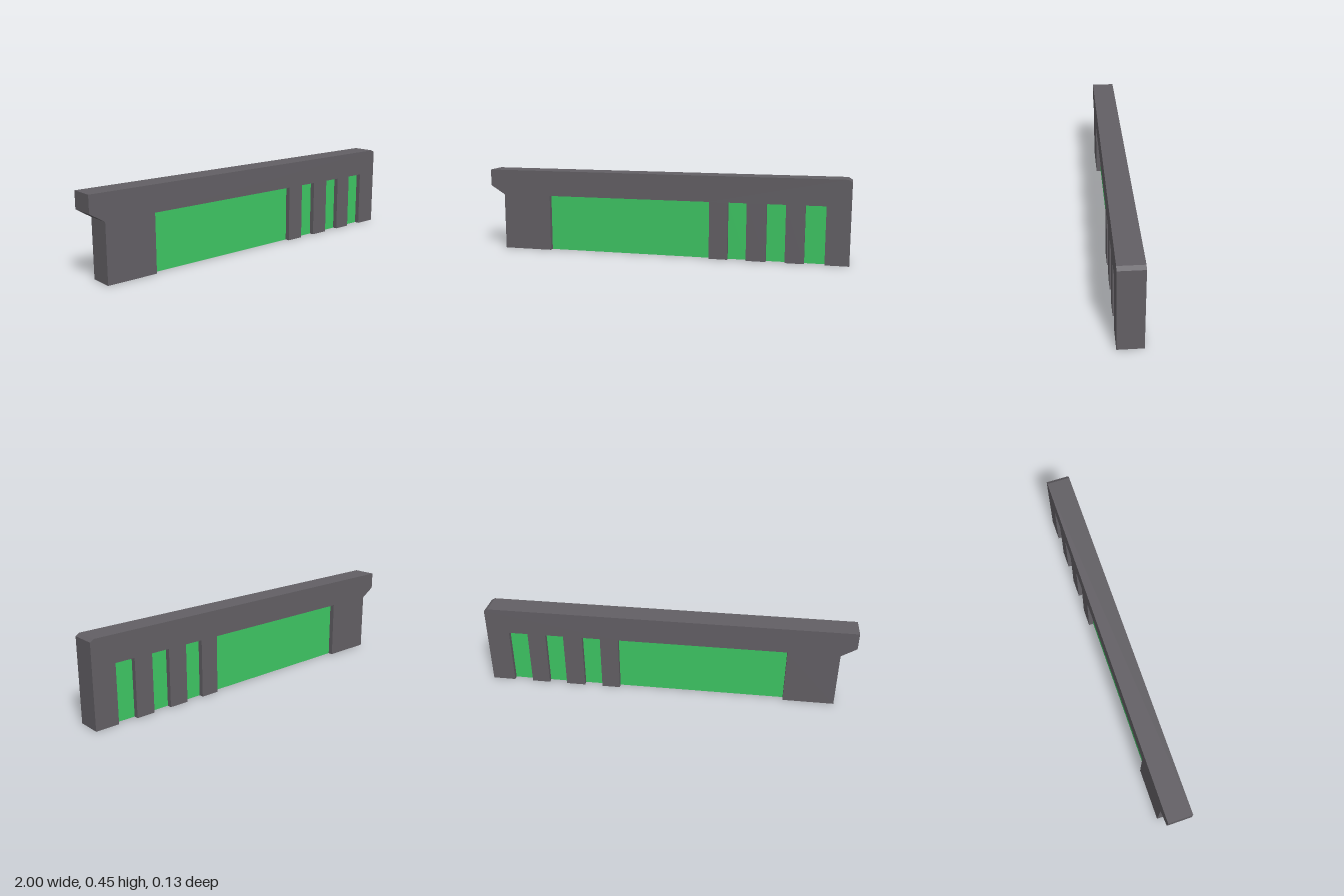
import * as THREE from 'three';

const HALF = 0.064;    // half of the wall thickness
const RECESS = 0.026;  // depth of the panel recesses
const HEAD = 0.31;     // height of the recess heads
const BAYS = [[-0.645, 0.265], [0.365, 0.465], [0.57, 0.67], [0.77, 0.875]];

// Flat upright face, turned to the front (side 1) or the back (side -1)
function face(points, z, side) {
  const shape = new THREE.Shape(points.map(([x, y]) => new THREE.Vector2(x * side, y)));
  const g = new THREE.ShapeGeometry(shape);
  if (side < 0) g.rotateY(Math.PI);
  return g.translate(0, 0, z * side);
}

// Open band that follows a path in x and y between two depths
function band(points, z0, z1) {
  const pos = [];
  for (let i = 0; i < points.length - 1; i++) {
    const [ax, ay] = points[i], [bx, by] = points[i + 1];
    pos.push(ax, ay, z0, bx, by, z0, bx, by, z1, ax, ay, z0, bx, by, z1, ax, ay, z1);
  }
  const g = new THREE.BufferGeometry();
  g.setAttribute('position', new THREE.Float32BufferAttribute(pos, 3));
  g.computeVertexNormals();
  return g;
}

export function createModel() {
  const model = new THREE.Group();
  model.name = 'panelledWall';
  const grey = new THREE.MeshStandardMaterial({ color: 0x625f64, side: THREE.DoubleSide });
  grey.name = 'dark grey';
  const green = new THREE.MeshStandardMaterial({ color: 0x3dc462, side: THREE.DoubleSide });
  green.name = 'green';
  const add = (name, geometry, material) => {
    const mesh = new THREE.Mesh(geometry, material);
    mesh.name = name;
    model.add(mesh);
  };

  // Ends and top, with a chamfer on one end and an overhang on the other
  const outer = [[1, 0], [1, 0.437], [0.98, 0.45], [-1, 0.45], [-1, 0.36], [-0.92, HEAD], [-0.92, 0]];
  add('topAndEnds', band(outer, -HALF, HALF), grey);

  const bayPath = ([l, r]) => [[l, 0], [l, HEAD], [r, HEAD], [r, 0]];
  const wall = [...outer, ...BAYS.flatMap(bayPath)];

  for (const side of [1, -1]) {
    const label = side > 0 ? 'front' : 'back';
    add(label + 'Wall', face(wall, HALF, side), grey);
    const zs = [side * HALF, side * (HALF - RECESS)].sort((a, b) => a - b);
    BAYS.forEach((bay, i) => {
      add(label + 'Reveal' + (i + 1), band(bayPath(bay), ...zs), grey);
      add(label + 'Panel' + (i + 1), face(bayPath(bay), HALF - RECESS, side), green);
    });
  }
  return model;
}
